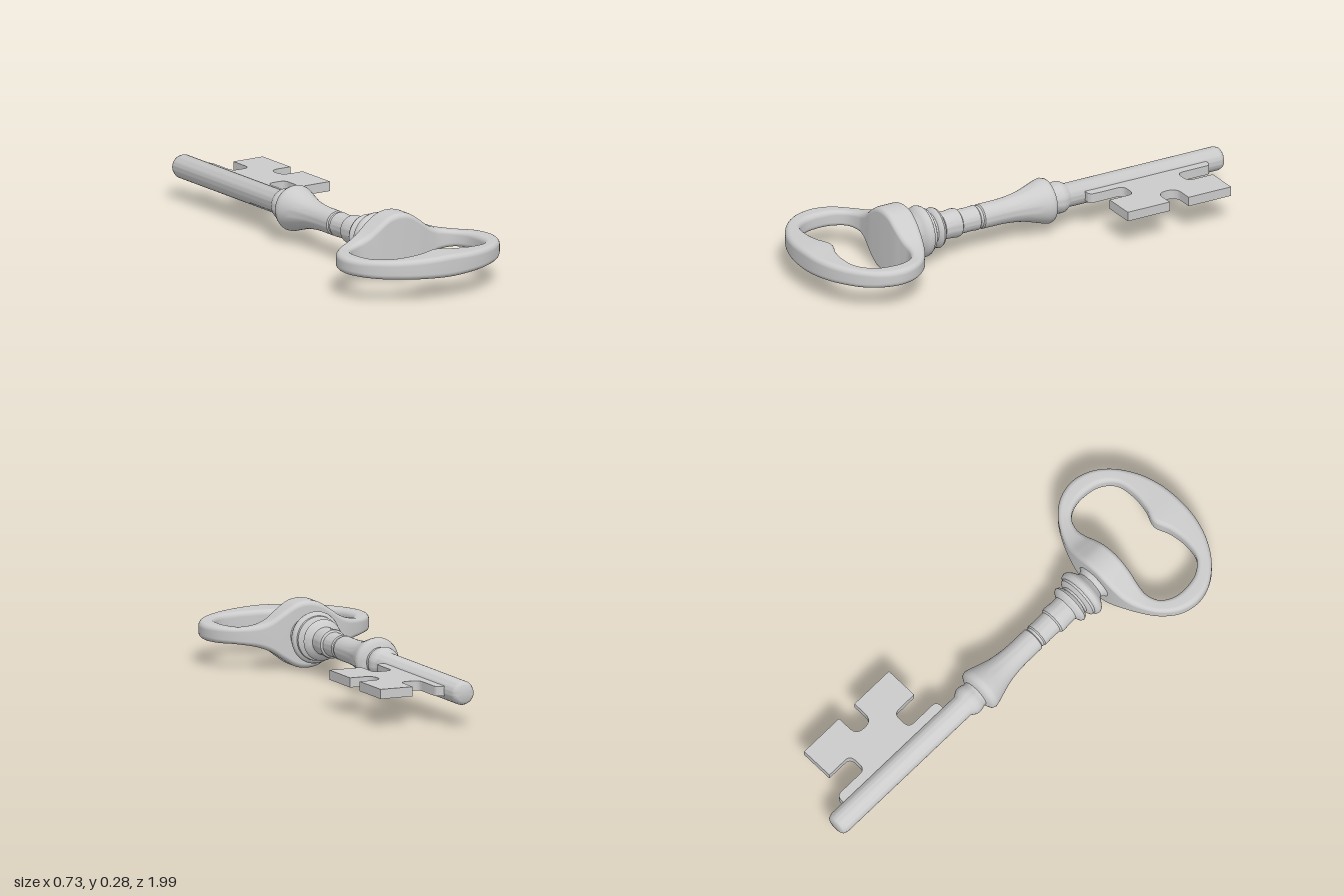
import * as THREE from 'three';
import { toCreasedNormals } from 'three/addons/utils/BufferGeometryUtils.js';

const AXIS = 0.143; // height of the shaft centre line
const grey = new THREE.MeshStandardMaterial({ color: 0xcccccc });

function add(group, name, geometry) {
  const mesh = new THREE.Mesh(geometry, grey);
  mesh.name = name;
  mesh.position.y = AXIS;
  group.add(mesh);
}

// Turned shaft: [radius, z] profile spun around the z axis
function shaftGeometry() {
  const profile = [
    [0, -1], [0.034, -1], [0.044, -0.994], [0.05, -0.978], [0.05, -0.265],
    [0.056, -0.255], [0.065, -0.24], [0.067, -0.225], [0.064, -0.208], [0.06, -0.2], [0.06, -0.188],
    [0.075, -0.183], [0.091, -0.174], [0.096, -0.16], [0.093, -0.145], [0.085, -0.12],
    [0.074, -0.085], [0.064, -0.05], [0.058, -0.015], [0.054, 0.02], [0.052, 0.06], [0.052, 0.145],
    [0.047, 0.15], [0.047, 0.162], [0.052, 0.167], [0.05, 0.2], [0.051, 0.25],
    [0.059, 0.256], [0.061, 0.27], [0.058, 0.3], [0.058, 0.335], [0.066, 0.342],
    [0.081, 0.35], [0.086, 0.36], [0.081, 0.37], [0.067, 0.378], [0.067, 0.388], [0.082, 0.394],
    [0.092, 0.4], [0.093, 0.41], [0.104, 0.416], [0.108, 0.428], [0.104, 0.44], [0.09, 0.452],
    [0.072, 0.464], [0.064, 0.474], [0.068, 0.487], [0.082, 0.5], [0.082, 0.53], [0, 0.53]
  ].map(([r, z]) => new THREE.Vector2(r, z));
  return toCreasedNormals(new THREE.LatheGeometry(profile, 48).rotateX(Math.PI / 2), 0.75);
}

// Handle loop: a rounded-rectangle section swept between two outlines with varying height
function bowGeometry() {
  // outer x, outer z, inner x, inner z, half height (right half, shaft side first)
  const half = [
    [0, 0.496, 0, 0.613, 0.14], [0.05, 0.496, 0.05, 0.612, 0.131], [0.105, 0.501, 0.1, 0.61, 0.099],
    [0.16, 0.513, 0.15, 0.604, 0.063], [0.215, 0.535, 0.2, 0.602, 0.044], [0.29, 0.583, 0.25, 0.622, 0.034],
    [0.345, 0.65, 0.283, 0.67, 0.035], [0.366, 0.73, 0.291, 0.735, 0.036], [0.347, 0.815, 0.275, 0.81, 0.036],
    [0.29, 0.89, 0.228, 0.863, 0.038], [0.2, 0.95, 0.15, 0.878, 0.041], [0.1, 0.982, 0.07, 0.869, 0.044],
    [0, 0.99, 0, 0.846, 0.047]
  ];
  const mirrored = half.slice(1, -1).reverse().map(([a, b, c, d, h]) => [-a, b, -c, d, h]);
  const all = [...half, ...mirrored];
  const curve = pick => new THREE.CatmullRomCurve3(all.map(pick), true);
  const outer = curve(p => new THREE.Vector3(p[0], p[4], p[1]));
  const inner = curve(p => new THREE.Vector3(p[2], p[4], p[3]));

  const rings = 144, arc = 5, sides = 4 * (arc + 1);
  const positions = [], index = [];
  for (let i = 0; i < rings; i++) {
    const o = outer.getPoint(i / rings), n = inner.getPoint(i / rings);
    const mid = o.clone().add(n).multiplyScalar(0.5);
    const dir = o.clone().sub(n).setY(0);
    const w = dir.length() / 2, h = (o.y + n.y) / 2, r = Math.min(0.022, w * 0.6);
    dir.normalize();
    for (let q = 0; q < 4; q++) for (let k = 0; k <= arc; k++) {
      const a = (q + k / arc) * Math.PI / 2;
      const u = (q === 0 || q === 3 ? 1 : -1) * (w - r) + r * Math.cos(a);
      const v = (q < 2 ? 1 : -1) * (h - r) + r * Math.sin(a);
      positions.push(mid.x + dir.x * u, v, mid.z + dir.z * u);
    }
  }
  for (let i = 0; i < rings; i++) for (let j = 0; j < sides; j++) {
    const i2 = (i + 1) % rings, j2 = (j + 1) % sides;
    const a = i * sides + j, b = i2 * sides + j, c = i2 * sides + j2, d = i * sides + j2;
    index.push(a, d, b, b, d, c);
  }
  const g = new THREE.BufferGeometry();
  g.setAttribute('position', new THREE.Float32BufferAttribute(positions, 3));
  g.setIndex(index);
  g.computeVertexNormals();
  return g;
}

// Flat toothed bit; each corner is [x, -z, corner radius]
function bitGeometry() {
  const corners = [
    [0.03, 0.33, 0], [0.085, 0.33, 0.025], [0.085, 0.49, 0.03], [0.17, 0.49, 0.03],
    [0.17, 0.373, 0], [0.315, 0.373, 0], [0.315, 0.573, 0], [0.213, 0.573, 0.043],
    [0.213, 0.663, 0.043], [0.315, 0.663, 0], [0.315, 0.865, 0], [0.17, 0.865, 0],
    [0.17, 0.745, 0.03], [0.085, 0.745, 0.03], [0.085, 0.908, 0.025], [0.03, 0.908, 0]
  ].map(([x, y, r]) => ({ p: new THREE.Vector2(x, y), r }));
  const shape = new THREE.Shape();
  corners.forEach(({ p, r }, i) => {
    const toward = q => p.clone().add(q.clone().sub(p).setLength(r));
    const a = toward(corners.at(i - 1).p), b = toward(corners[(i + 1) % corners.length].p);
    if (i === 0) shape.moveTo(a.x, a.y); else shape.lineTo(a.x, a.y);
    if (r > 0) shape.quadraticCurveTo(p.x, p.y, b.x, b.y);
  });
  const depth = 0.04;
  const g = new THREE.ExtrudeGeometry(shape, { depth, bevelEnabled: false, curveSegments: 8 });
  g.translate(0, 0, -depth / 2).rotateX(-Math.PI / 2);
  return toCreasedNormals(g, 0.6);
}

export function createModel() {
  const key = new THREE.Group();
  key.name = 'key';
  add(key, 'shaft', shaftGeometry());
  add(key, 'bow', bowGeometry());
  add(key, 'bit', bitGeometry());
  return key;
}
